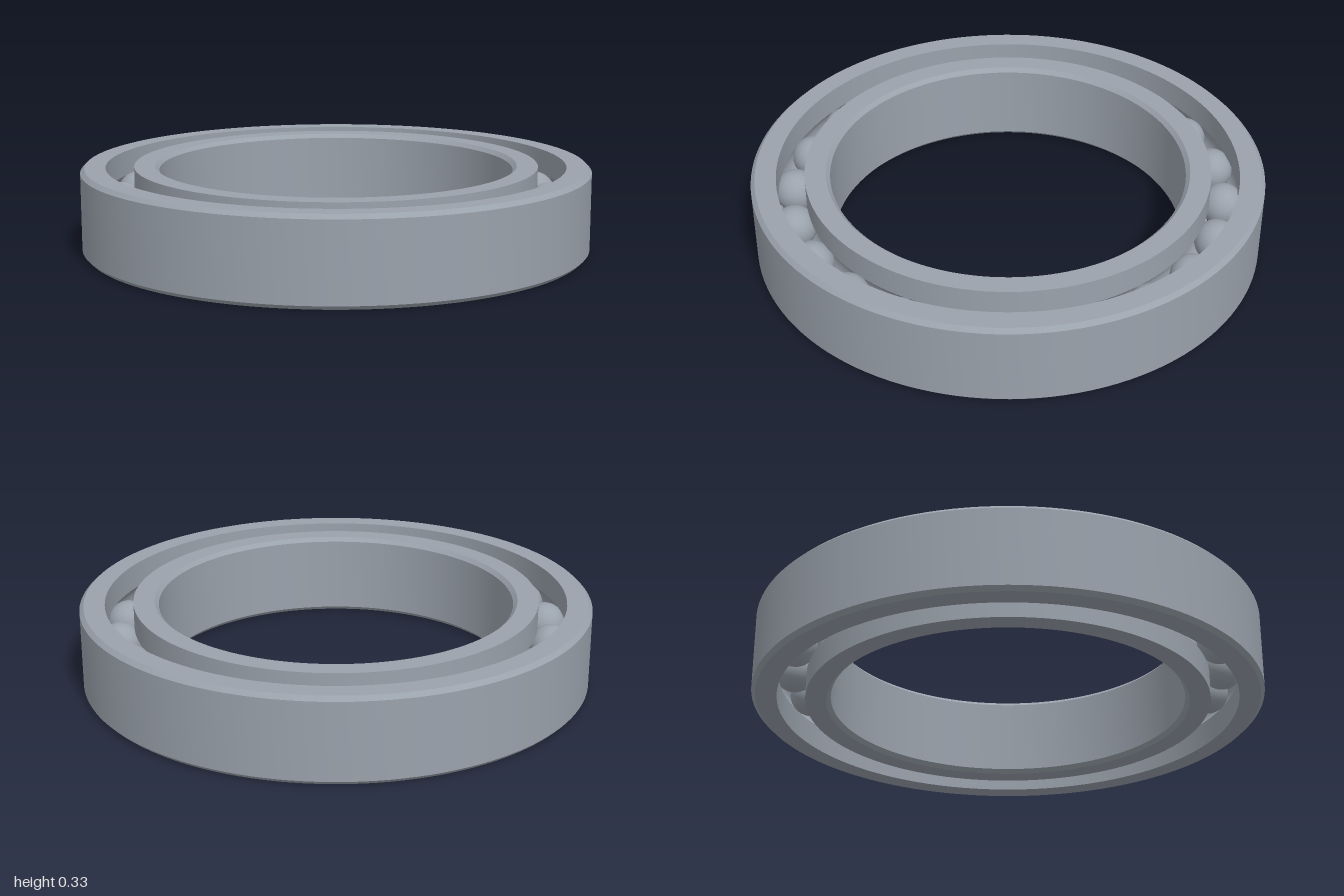
import * as THREE from 'three';
import { toCreasedNormals } from 'three/addons/utils/BufferGeometryUtils.js';

const HEIGHT = 0.333;
const CHAMFER = 0.016;
const BORE = 0.694;        // inner radius of the inner ring
const PITCH = 0.847;       // radius of the circle of ball centres
const HALF_GAP = 0.055;    // from pitch circle to either shoulder
const BALL_RADIUS = 0.085;
const BALL_COUNT = 22;

// Points of a raceway groove, an arc around the ball centre
function groove(from, to, steps = 14) {
  const points = [];
  for (let i = 0; i <= steps; i++) {
    const a = from + (to - from) * i / steps;
    points.push([PITCH + Math.cos(a) * BALL_RADIUS, HEIGHT / 2 + Math.sin(a) * BALL_RADIUS]);
  }
  return points;
}

// Closed counter-clockwise section, turned around the y axis
function ring(name, section, material) {
  const points = [...section, section[0]].map(([r, y]) => new THREE.Vector2(r, y));
  const geometry = toCreasedNormals(new THREE.LatheGeometry(points, 128), 0.5);
  const mesh = new THREE.Mesh(geometry, material);
  mesh.name = name;
  return mesh;
}

export function createModel() {
  const steel = new THREE.MeshStandardMaterial({ color: 0x9aa2ac });
  steel.name = 'steel';
  const model = new THREE.Group();
  model.name = 'ballBearing';

  const edge = Math.acos(HALF_GAP / BALL_RADIUS);
  const outerShoulder = PITCH + HALF_GAP;
  const innerShoulder = PITCH - HALF_GAP;

  // Outer ring: chamfered outside, groove inside
  model.add(ring('outerRing', [
    [outerShoulder, 0], [1 - CHAMFER, 0], [1, CHAMFER],
    [1, HEIGHT - CHAMFER], [1 - CHAMFER, HEIGHT], [outerShoulder, HEIGHT],
    ...groove(edge, -edge),
  ], steel));

  // Inner ring: groove outside, chamfered bore
  model.add(ring('innerRing', [
    [BORE + CHAMFER, 0], [innerShoulder, 0],
    ...groove(Math.PI + edge, Math.PI - edge),
    [innerShoulder, HEIGHT], [BORE + CHAMFER, HEIGHT],
    [BORE, HEIGHT - CHAMFER], [BORE, CHAMFER],
  ], steel));

  // Balls, evenly spaced with a small starting offset
  const balls = new THREE.Group();
  balls.name = 'balls';
  const ballGeometry = new THREE.SphereGeometry(BALL_RADIUS, 32, 20);
  for (let i = 0; i < BALL_COUNT; i++) {
    const a = THREE.MathUtils.degToRad(3.75) + i * 2 * Math.PI / BALL_COUNT;
    const ball = new THREE.Mesh(ballGeometry, steel);
    ball.name = 'ball';
    ball.position.set(Math.sin(a) * PITCH, HEIGHT / 2, -Math.cos(a) * PITCH);
    balls.add(ball);
  }
  model.add(balls);
  return model;
}
